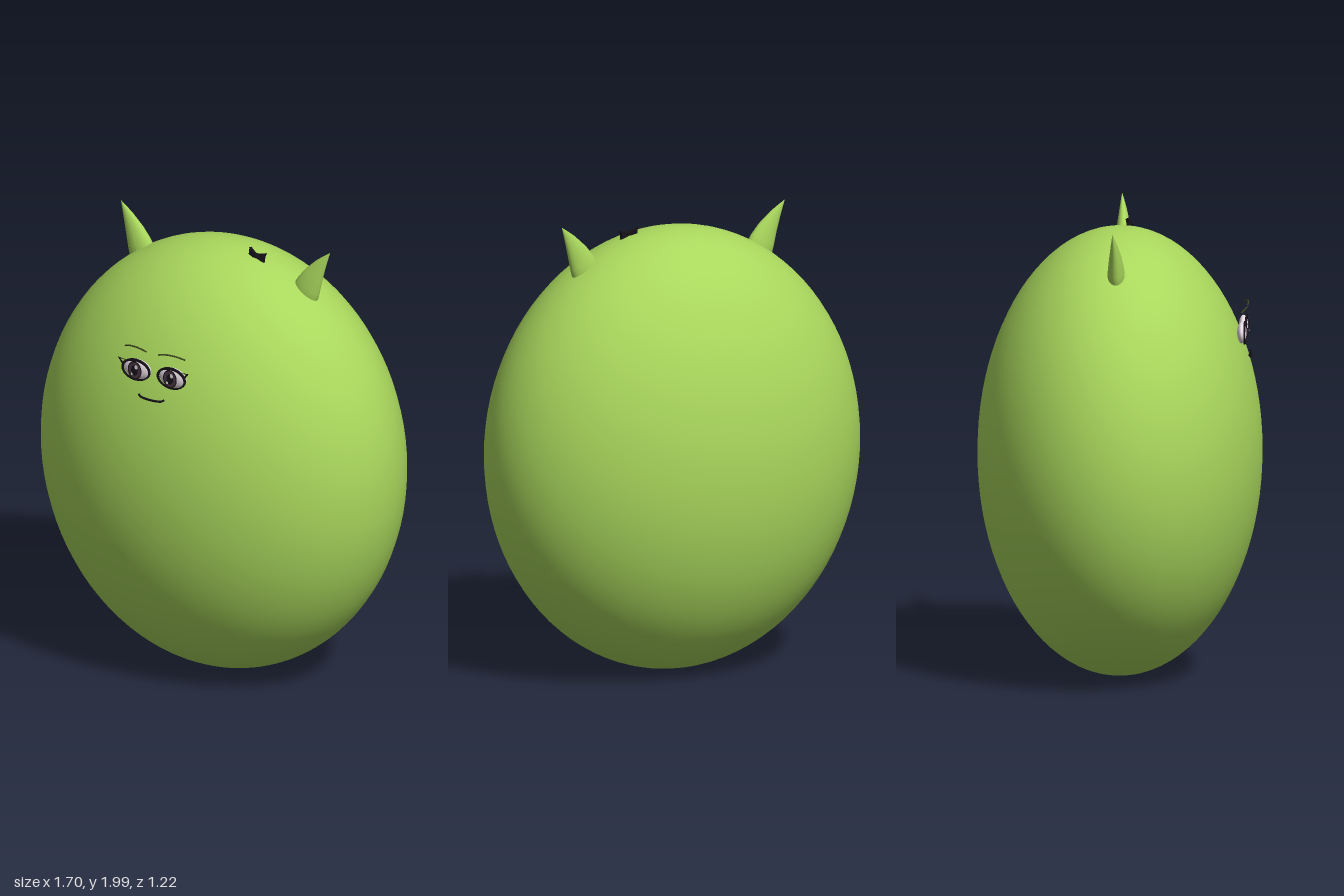
import * as THREE from 'three';

const mat = (name, color, side = THREE.FrontSide) => {
  const m = new THREE.MeshStandardMaterial({ color, side });
  m.name = name;
  return m;
};

export function createModel() {
  const green = mat('skin green', 0xa9d75c);
  const black = mat('ink black', 0x17121a, THREE.DoubleSide);
  const white = mat('eye white', 0xe6dae4);
  const brown = mat('iris brown', 0x4a363f);
  const olive = mat('brow olive', 0x3f4a22);
  const shine = mat('eye shine', 0xffffff);

  const root = new THREE.Group();
  root.name = 'roundCreature';
  const add = (parent, name, geo, material, x = 0, y = 0, z = 0) => {
    const m = new THREE.Mesh(geo, material);
    m.name = name;
    m.position.set(x, y, z);
    parent.add(m);
    return m;
  };
  const disc = (rx, ry) => new THREE.CircleGeometry(1, 32).scale(rx, ry, 1);
  const stroke = (pts, r) => new THREE.TubeGeometry(
    new THREE.CatmullRomCurve3(pts.map(p => new THREE.Vector3(...p))), 20, r, 6);

  // Egg-shaped body
  add(root, 'body', new THREE.SphereGeometry(1, 64, 48).scale(0.852, 0.967, 0.61), green, 0, 0.973, 0);

  // Horn: teardrop lathe, flattened, gently bowed and leaning outward
  const hornGeometry = (s) => {
    const profile = [[0, -0.05], [0.04, -0.042], [0.06, -0.02], [0.065, 0.01], [0.06, 0.045],
      [0.047, 0.1], [0.026, 0.17], [0.012, 0.21], [0, 0.242]].map(p => new THREE.Vector2(...p));
    const g = new THREE.LatheGeometry(profile, 28).scale(1, 1, 0.58);
    const p = g.attributes.position;
    for (let i = 0; i < p.count; i++) {
      const t = Math.max(0, p.getY(i) / 0.242);
      p.setX(i, p.getX(i) - s * 0.01 * Math.sin(Math.PI * t));
      p.setZ(i, p.getZ(i) - 0.012 * t * t);
    }
    g.rotateZ(-s * 0.519);
    g.computeVertexNormals();
    return g;
  };

  // Eye outline: ellipse with a lowered hole, so the upper lid is thicker
  const rim = new THREE.Shape();
  rim.absellipse(0, 0, 0.073, 0.049, 0, Math.PI * 2);
  const hole = new THREE.Path();
  hole.absellipse(0, -0.002, 0.065, 0.041, 0, Math.PI * 2, true);
  rim.holes.push(hole);
  const rimGeometry = new THREE.ExtrudeGeometry(rim, { depth: 0.008, bevelEnabled: false, curveSegments: 24 });

  for (const s of [1, -1]) {
    const side = s > 0 ? 'left' : 'right';
    add(root, side + 'Horn', hornGeometry(s), green, s * 0.42, 1.79, 0);

    const eye = new THREE.Group();
    eye.name = side + 'Eye';
    eye.position.set(s * 0.091, 1.503, 0.525);
    root.add(eye);
    add(eye, 'eyeball', new THREE.SphereGeometry(1, 32, 20).scale(0.069, 0.045, 0.02), white);
    add(eye, 'eyeRim', rimGeometry, black, 0, 0, 0.009);
    add(eye, 'iris', disc(0.034, 0.041), brown, 0, 0, 0.022);
    add(eye, 'irisEdge', new THREE.RingGeometry(0.87, 1, 32).scale(0.035, 0.042, 1), black, 0, 0, 0.0235);
    add(eye, 'pupil', disc(0.017, 0.023), black, 0, 0, 0.025);
    add(eye, 'highlight', disc(0.008, 0.01), shine, 0.01, 0.017, 0.0275);
    add(eye, 'smallHighlight', disc(0.005, 0.006), shine, -0.012, -0.018, 0.0275);

    // Pointed lashes at the outer corner
    const lash = new THREE.Shape([[0.045, 0.036], [0.092, 0.042], [0.07, 0.012]]
      .map(([x, y]) => new THREE.Vector2(s * x, y)));
    lash.holes.push(new THREE.Path([[0.054, 0.034], [0.08, 0.037], [0.066, 0.024]]
      .map(([x, y]) => new THREE.Vector2(s * x, y))));
    add(eye, 'lash', new THREE.ShapeGeometry(lash), black, 0, 0, 0.016);

    // Thin arched brow
    add(root, side + 'Brow', stroke([[s * 0.03, 1.6, 0.545], [s * 0.07, 1.61, 0.547],
      [s * 0.115, 1.609, 0.54], [s * 0.155, 1.597, 0.525]], 0.0035), olive);
  }

  // Small mouth with lifted corners
  add(root, 'mouth', stroke([[-0.065, 1.402, 0.556], [-0.054, 1.395, 0.559], [-0.02, 1.391, 0.562],
    [0.02, 1.391, 0.562], [0.054, 1.395, 0.559], [0.065, 1.402, 0.556]], 0.005), black);

  // Little bow on the crown
  const bow = new THREE.Group();
  bow.name = 'bow';
  bow.position.set(0.192, 1.925, 0.037);
  bow.rotation.set(-0.15, 0, -0.12);
  root.add(bow);
  for (const s of [1, -1]) {
    const wing = new THREE.Shape();
    wing.moveTo(0, 0.008);
    wing.quadraticCurveTo(s * 0.02, 0.012, s * 0.042, 0.024);
    wing.quadraticCurveTo(s * 0.034, 0, s * 0.042, -0.02);
    wing.quadraticCurveTo(s * 0.02, -0.016, 0, -0.008);
    const g = new THREE.ExtrudeGeometry(wing, { depth: 0.014, bevelEnabled: false, curveSegments: 6 });
    add(bow, 'bowWing', g, black, 0, 0, -0.007).rotation.y = s * 0.2;
  }
  add(bow, 'bowKnot', new THREE.SphereGeometry(0.012, 12, 8), black);

  return root;
}
